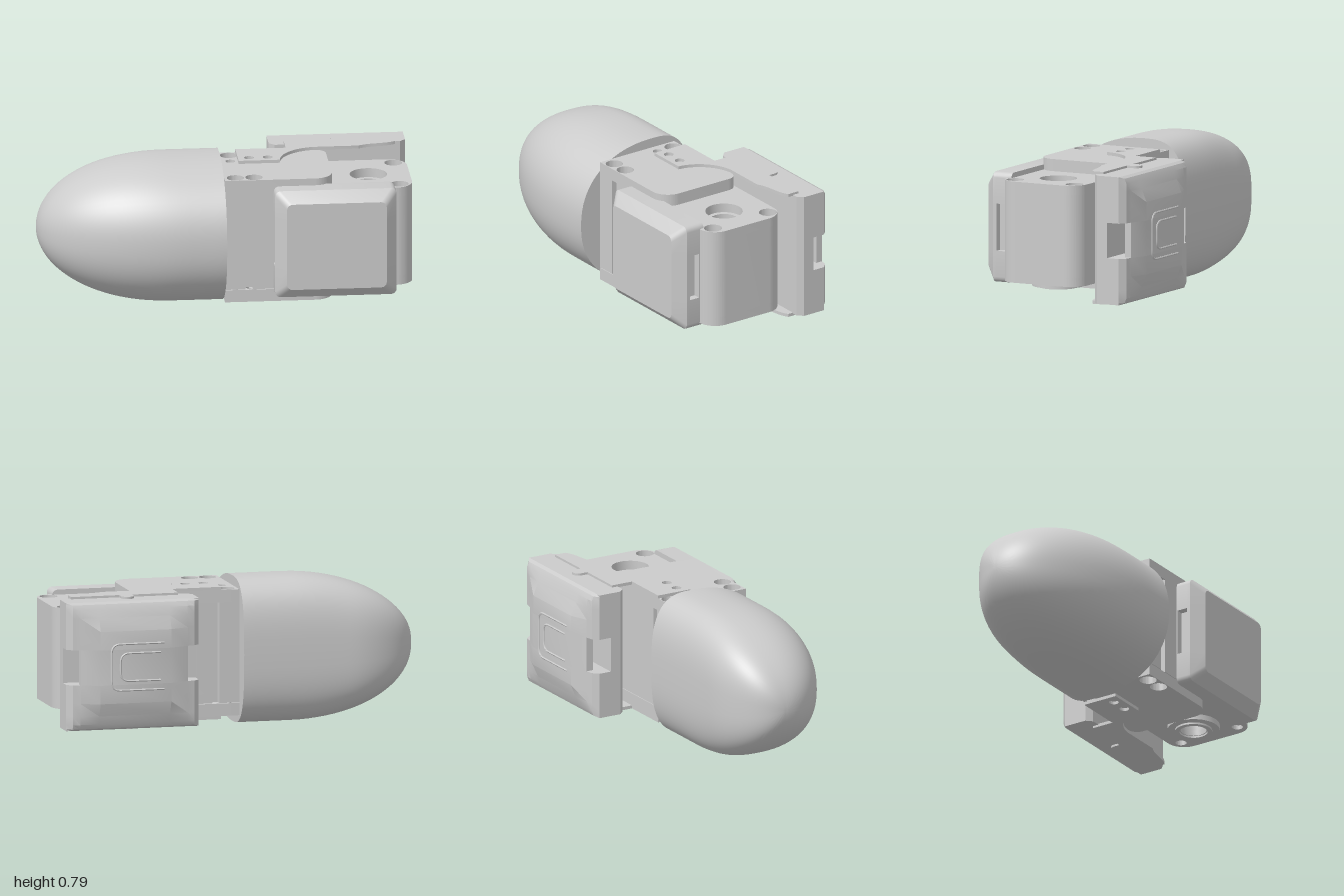
import * as THREE from 'three';
import { toCreasedNormals } from 'three/addons/utils/BufferGeometryUtils.js';

const MID = 0.395; // height of the horizontal mirror plane
const material = new THREE.MeshStandardMaterial({ color: 0xcccccc, side: THREE.DoubleSide });

function add(group, name, geometry, crease = 0.5) {
  const mesh = new THREE.Mesh(toCreasedNormals(geometry, crease), material);
  mesh.name = name;
  group.add(mesh);
  return mesh;
}

// Skin a list of equal-length rings of [x, y, z], closing both ends
function loft(rings) {
  const n = rings[0].length, pos = rings.flat(2), idx = [];
  for (let i = 0; i < rings.length - 1; i++)
    for (let j = 0; j < n; j++) {
      const a = i * n + j, b = i * n + (j + 1) % n;
      idx.push(a, b, a + n, b, b + n, a + n);
    }
  [0, rings.length - 1].forEach((r, end) => {
    const c = pos.length / 3;
    for (let k = 0; k < 3; k++) pos.push(rings[r].reduce((s, p) => s + p[k], 0) / n);
    for (let j = 0; j < n; j++) {
      const a = r * n + j, b = r * n + (j + 1) % n;
      if (end) idx.push(c, a, b); else idx.push(c, b, a);
    }
  });
  const g = new THREE.BufferGeometry();
  g.setAttribute('position', new THREE.Float32BufferAttribute(pos, 3));
  g.setIndex(idx);
  return g;
}

// Extrude a plan shape (drawn in x, -z) upward from y0 to y1, with round holes [x, z, r]
function slab(shape, y0, y1, holes = []) {
  const s = shape.clone();
  for (const [x, z, r] of holes) s.holes.push(new THREE.Path().absarc(x, -z, r, 0, Math.PI * 2, true));
  return new THREE.ExtrudeGeometry(s, { depth: y1 - y0, bevelEnabled: false, curveSegments: 20 })
    .rotateX(-Math.PI / 2).translate(0, y0, 0);
}

// Smooth nose: half-ellipse toward the front, squarer toward the back
function noseGeometry() {
  const rings = [], N = 72, R = 30;
  const round = (u, len) => Math.sqrt(1 - (1 - Math.min(u / len, 1)) ** 2);
  for (let i = 0; i <= R; i++) {
    const u = Math.max(0.0002, 0.98 * (i / R) ** 2);
    const h = 0.393 * round(u, 0.68), front = 0.46 * round(u, 0.78), back = 0.252 * round(u, 0.38);
    rings.push(Array.from({ length: N }, (_, j) => {
      const t = j / N * Math.PI * 2, c = Math.cos(t), s = Math.sin(t), p = c > 0 ? 2 / 2.25 : 2 / 3;
      return [u - 1, MID - h * Math.sign(s) * Math.abs(s) ** p,
        Math.sign(c) * Math.abs(c) ** p * (c > 0 ? front : back)];
    }));
  }
  return loft(rings);
}

// Main motor housing with slots on both long faces
function housingShape() {
  const s = new THREE.Shape(), r = 0.1;
  s.moveTo(-0.02, -0.335);
  [[0.09, -0.335], [0.09, -0.3], [0.13, -0.3], [0.13, -0.335], [0.99 - r, -0.335]].forEach(p => s.lineTo(...p));
  s.absarc(0.99 - r, -0.335 + r, r, -Math.PI / 2, 0, false);
  s.absarc(0.99 - r, 0.15 - r, r, 0, Math.PI / 2, false);
  [[0.13, 0.15], [0.13, 0.115], [0.09, 0.115], [0.09, 0.15], [-0.02, 0.15]].forEach(p => s.lineTo(...p));
  return s;
}

// Raised end plate covering the nose-side half of the housing
function capShape() {
  const s = new THREE.Shape();
  s.moveTo(-0.02, -0.335);
  s.lineTo(0.46, -0.335);
  s.absarc(0.46, -0.235, 0.1, -Math.PI / 2, 0, false);
  s.lineTo(0.56, 0.09);
  s.quadraticCurveTo(0.56, 0.15, 0.49, 0.15);
  s.lineTo(-0.02, 0.15);
  return s;
}

// Thin bracket arm with a screw tab and an S-curved edge
function bracketShape() {
  const s = new THREE.Shape();
  s.moveTo(0.08, -0.05);
  s.lineTo(0.3, -0.05);
  s.bezierCurveTo(0.31, 0.06, 0.4, 0.14, 0.5, 0.15);
  s.lineTo(0.74, 0.15);
  s.bezierCurveTo(0.8, 0.19, 0.88, 0.17, 0.94, 0.21);
  s.lineTo(0.94, 0.275);
  s.lineTo(0.675, 0.275);
  s.lineTo(0.675, 0.31);
  s.absarc(0.64, 0.31, 0.035, 0, Math.PI, false);
  s.lineTo(0.605, 0.275);
  s.lineTo(0.35, 0.275);
  s.lineTo(0.35, 0.15);
  s.lineTo(0.08, 0.15);
  return s;
}

// Front cover ring: rounded rectangle with a clip notch on each side
function coverRing(z, inset, notch) {
  const x = 0.565, y = 0.4, w = 0.325 - inset, h = 0.297 - inset, r = 0.03, ring = [];
  const corner = (sx, sy, start) => {
    for (let k = 0; k <= 4; k++) {
      const a = start + k * Math.PI / 8;
      ring.push([x + sx * (w - r) + r * Math.cos(a), y + sy * (h - r) + r * Math.sin(a), z]);
    }
  };
  const clip = s => [[0, -1], [notch, -1], [notch, 1], [0, 1]].forEach(([d, e]) =>
    ring.push([x + s * (w - d), y + s * e * 0.127, z]));
  clip(1);
  corner(1, 1, 0);
  corner(-1, 1, Math.PI / 2);
  clip(-1);
  corner(-1, -1, Math.PI);
  corner(1, -1, Math.PI * 1.5);
  return ring;
}

// Rear box: plan outline clamped to a depth that varies with height
const rearPlan = [[0.27, -0.27], [0.3, -0.24], [0.97, -0.24], [1, -0.27], [1, -0.4], [0.97, -0.43],
  [0.93, -0.438], [0.83, -0.476], [0.44, -0.476], [0.34, -0.438], [0.3, -0.43], [0.27, -0.4]];
const rearRing = ([y, depth]) => rearPlan.map(([x, z]) => [x, y, Math.max(z, -depth)]);

export function createModel() {
  const model = new THREE.Group();
  add(model, 'nose', noseGeometry(), 0.6);

  // Housing in layers, so holes are counterbored at top and bottom
  const housing = housingShape();
  const bores = (big, small) => [[0.77, 0.09, big], [0.92, -0.09, small], [0.92, 0.27, small]];
  add(model, 'housingBottom', slab(housing, 0.125, 0.175, bores(0.075, 0.03)));
  add(model, 'housingMiddle', slab(housing, 0.175, 0.62, bores(0.075, 0.03)));
  add(model, 'housingTop', slab(housing, 0.62, 0.67, bores(0.1, 0.048)));

  // Output horn under the housing
  const disc = new THREE.Shape().absarc(0.77, -0.09, 0.14, 0, Math.PI * 2, false);
  add(model, 'outputHorn', slab(disc, 0.095, 0.125, [[0.77, 0.09, 0.07]]));
  const collar = new THREE.Shape().absarc(0.77, -0.09, 0.1, 0, Math.PI * 2, false);
  add(model, 'hornCollar', slab(collar, 0.085, 0.1, [[0.77, 0.09, 0.075]]));

  // Mirrored end plates, screws and bracket arms
  const screws = [[0.04, -0.1], [0.04, 0.285], [0.14, 0.285]];
  const plateHoles = [...screws.map(p => [...p, 0.046]), [0.04, 0, 0.026]];
  for (const top of [true, false]) {
    const side = top ? 'top' : 'bottom';
    const span = (a, b) => top ? [a, b] : [2 * MID - b, 2 * MID - a];
    add(model, side + 'EndPlate', slab(capShape(), ...span(0.668, 0.735), plateHoles));
    add(model, side + 'BracketArm', slab(bracketShape(), ...span(0.735, 0.752),
      [[0.14, 0, 0.026], [0.24, 0, 0.026]]));
    const [s0, s1] = span(0.67, 0.7);
    for (const [x, z] of screws)
      add(model, side + 'Screw', new THREE.CylinderGeometry(0.027, 0.027, s1 - s0, 20).translate(x, (s0 + s1) / 2, z));
  }
  add(model, 'bracketWall', new THREE.BoxGeometry(0.59, 0.3, 0.03).translate(0.645, 0.395, -0.255));

  // Front cover with chamfered face
  add(model, 'frontCover', loft([coverRing(0.31, 0, 0), coverRing(0.34, 0, 0), coverRing(0.34, 0, 0.04),
    coverRing(0.4, 0, 0.04), coverRing(0.4, 0, 0), coverRing(0.42, 0, 0), coverRing(0.48, 0.058, 0)]), 0.4);

  // Rear box: solid ends and two walls around the through window
  const lower = [[0.05, 0.4], [0.06, 0.42], [0.085, 0.433], [0.13, 0.447], [0.2, 0.476], [0.3, 0.476]];
  add(model, 'rearBoxLower', loft(lower.map(rearRing)), 0.4);
  add(model, 'rearBoxUpper', loft([[0.49, 0.476],
    ...lower.slice(0, 5).reverse().map(([y, d]) => [2 * MID - y, d])].map(rearRing)), 0.4);
  const wall = pts => loft([0.3, 0.49].map(y => pts.map(([x, z]) => [x, y, z])));
  add(model, 'rearBoxInnerWall', wall([[0.27, -0.33], ...rearPlan.slice(0, 4), [1, -0.33]]));
  add(model, 'rearBoxOuterWall', wall([[0.34, -0.4], [0.93, -0.4], ...rearPlan.slice(6, 10)]));

  // Two nested C-shaped ridges on the rear face
  for (const [h, x0, x1] of [[0.125, 0.48, 0.77], [0.075, 0.5, 0.72]]) {
    const path = new THREE.CurvePath(), r = 0.05;
    const P = (x, y) => new THREE.Vector3(x, MID + y, -0.476);
    path.add(new THREE.LineCurve3(P(x0, h), P(x1 - r, h)));
    path.add(new THREE.QuadraticBezierCurve3(P(x1 - r, h), P(x1, h), P(x1, h - r)));
    path.add(new THREE.LineCurve3(P(x1, h - r), P(x1, r - h)));
    path.add(new THREE.QuadraticBezierCurve3(P(x1, r - h), P(x1, -h), P(x1 - r, -h)));
    path.add(new THREE.LineCurve3(P(x1 - r, -h), P(x0, -h)));
    add(model, 'rearRidge', new THREE.TubeGeometry(path, 60, 0.006, 6), 1);
  }
  return model;
}
